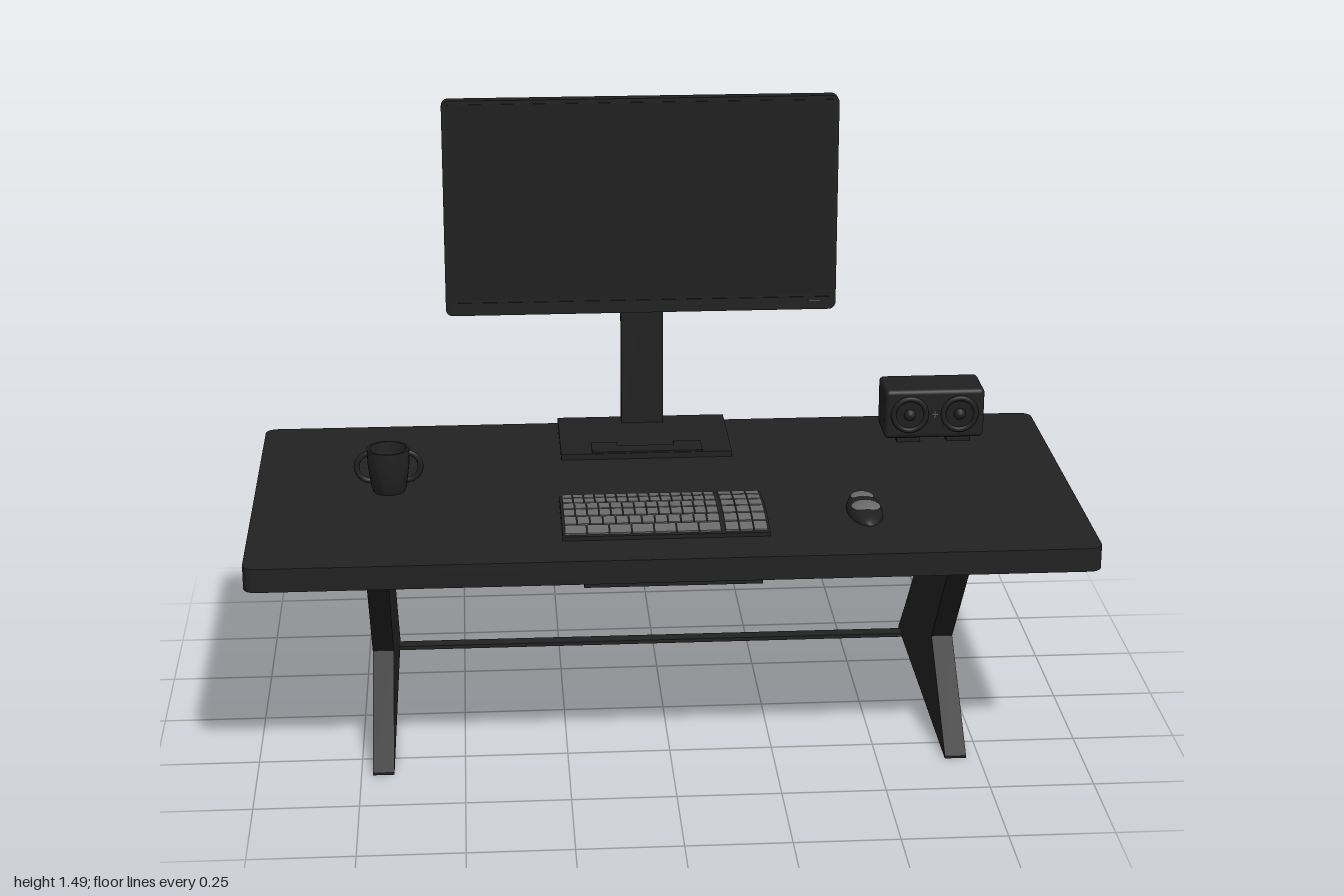
import * as THREE from 'three';
import { toCreasedNormals } from 'three/addons/utils/BufferGeometryUtils.js';
import { RoundedBoxGeometry } from 'three/addons/geometries/RoundedBoxGeometry.js';

const mat = (name, color, side = THREE.FrontSide) =>
  Object.assign(new THREE.MeshStandardMaterial({ color, side }), { name });

export function createModel() {
  const root = new THREE.Group();
  root.name = 'deskSetup';
  const black = mat('matteBlack', 0x222222);
  const dark = mat('darkPlastic', 0x202020);
  const screenBlack = mat('screenBlack', 0x1e1e1e);
  const grey = mat('keyGrey', 0x6a6a6a);

  const add = (name, geo, material, x = 0, y = 0, z = 0, parent = root) => {
    const m = new THREE.Mesh(geo, material);
    m.name = name;
    m.position.set(x, y, z);
    parent.add(m);
    return m;
  };
  // box given by its limits
  const box = (name, material, x0, x1, y0, y1, z0, z1, parent = root) =>
    add(name, new THREE.BoxGeometry(x1 - x0, y1 - y0, z1 - z0), material,
      (x0 + x1) / 2, (y0 + y1) / 2, (z0 + z1) / 2, parent);
  const roundRect = (w, h, r) => {
    const s = new THREE.Shape();
    s.absarc(w / 2 - r, h / 2 - r, r, 0, Math.PI / 2);
    s.absarc(r - w / 2, h / 2 - r, r, Math.PI / 2, Math.PI);
    s.absarc(r - w / 2, r - h / 2, r, Math.PI, Math.PI * 1.5);
    s.absarc(w / 2 - r, r - h / 2, r, Math.PI * 1.5, Math.PI * 2);
    return s;
  };
  const slab = (w, h, r, depth) => toCreasedNormals(
    new THREE.ExtrudeGeometry(roundRect(w, h, r), { depth, bevelEnabled: false, curveSegments: 6 }), 0.6);
  // side profile in (z, y), extruded across x and centred on it
  const sideExtrude = (shape, width) => {
    const g = new THREE.ExtrudeGeometry(shape, { depth: width, bevelEnabled: false, curveSegments: 10 });
    g.translate(0, 0, -width / 2).rotateY(-Math.PI / 2);
    return toCreasedNormals(g, 0.4);
  };
  const poly = (pts) => new THREE.Shape(pts.map(([a, b]) => new THREE.Vector2(a, b)));

  // desk top and the tray beneath it
  add('deskTop', slab(2, 0.956, 0.03, 0.058).rotateX(-Math.PI / 2), black, 0, 0.541, 0);
  box('underTray', black, -0.21, 0.213, 0.484, 0.541, -0.466, 0.362);

  // angular side legs with a slightly curved back edge
  const leg = new THREE.Shape();
  leg.moveTo(0.34, 0);
  leg.lineTo(0.34, 0.006);
  leg.lineTo(0.083, 0.213);
  leg.lineTo(0.352, 0.541);
  leg.lineTo(0.022, 0.541);
  leg.quadraticCurveTo(-0.215, 0.248, -0.458, 0.006);
  leg.lineTo(-0.458, 0);
  const legGeo = sideExtrude(leg, 0.052);
  for (const [name, x] of [['rightLeg', -0.697], ['leftLeg', 0.692]]) add(name, legGeo, black, x);
  box('footBar', black, -0.68, 0.68, 0.003, 0.013, -0.425, -0.39);

  // monitor
  const mx = -0.031;
  const monitor = new THREE.Group();
  monitor.name = 'monitor';
  monitor.position.x = mx;
  root.add(monitor);
  add('panel', slab(0.99, 0.555, 0.018, 0.03), dark, 0, 1.2125, -0.387, monitor);
  add('screen', slab(0.968, 0.505, 0.006, 0.002), screenBlack, 0, 1.228, -0.357, monitor);
  box('chinLine', screenBlack, -0.48, 0.48, 0.966, 0.969, -0.357, -0.3545, monitor);
  box('powerLight', grey, 0.425, 0.455, 0.957, 0.96, -0.357, -0.3545, monitor);
  // rear housing tapers backwards
  const housing = new THREE.BoxGeometry(0.86, 0.32, 0.035);
  const hp = housing.attributes.position;
  for (let i = 0; i < hp.count; i++) {
    if (hp.getZ(i) < 0) hp.setXY(i, hp.getX(i) * 0.5, hp.getY(i) > 0 ? 0.07 : -0.145);
  }
  housing.computeVertexNormals();
  add('rearHousing', housing, dark, 0, 1.097, -0.402, monitor);
  add('mountWedge', sideExtrude(poly([[-0.38, 1.27], [-0.435, 1.205], [-0.435, 1.02], [-0.415, 0.96], [-0.38, 0.96]]), 0.18),
    dark, 0, 0, 0, monitor);
  add('standColumn', sideExtrude(poly([[-0.427, 0.61], [-0.462, 0.61], [-0.457, 1.18], [-0.445, 1.2], [-0.43, 1.2]]), 0.108),
    dark, 0.005, 0, 0, monitor);
  box('standBase', dark, -0.213, 0.219, 0.599, 0.614, -0.476, -0.197, monitor);
  // U-shaped rest on the base
  const rest = poly([[-0.135, 0.2], [-0.135, 0.27], [-0.07, 0.27], [-0.07, 0.245], [0.075, 0.245],
    [0.075, 0.27], [0.145, 0.27], [0.145, 0.2]].reverse());
  add('baseRest', new THREE.ExtrudeGeometry(rest, { depth: 0.004, bevelEnabled: false }).rotateX(-Math.PI / 2),
    dark, 0, 0.614, 0, monitor);

  // keyboard: low domed body with rows of keys
  const keyboard = new THREE.Group();
  keyboard.name = 'keyboard';
  keyboard.position.x = -0.014;
  root.add(keyboard);
  const dome = (z) => 0.609 + 0.014 * (1 - ((z - 0.215) / 0.135) ** 2);
  const prof = [[0.35, 0.599]];
  for (let i = 0; i <= 8; i++) {
    const z = 0.35 - i * 0.03375;
    prof.push([z, dome(z)]);
  }
  prof.push([0.08, 0.599]);
  add('keyboardBody', sideExtrude(poly(prof), 0.49), dark, 0, 0, 0, keyboard);
  const key = (x0, x1, z0, z1) => {
    const z = (z0 + z1) / 2;
    const k = box('key', grey, x0, x1, dome(z) - 0.003, dome(z) + 0.004, z0, z1, keyboard);
    k.rotation.x = Math.atan(2 * 0.014 * (z - 0.215) / 0.135 ** 2);
  };
  const g = 0.0025;
  const rows = [14, 14, 13, 13, 12, 7];
  rows.forEach((n, r) => {
    const z0 = 0.085 + r * 0.0433, w = 0.37 / n;
    for (let c = 0; c < n; c++) {
      const x = -0.24 + c * w;
      key(x + g / 2, x + w - g / 2, z0 + g, z0 + 0.0433 - g);
    }
    for (let c = 0; c < 3; c++) {
      const x = 0.139 + c * 0.0337;
      key(x + g / 2, x + 0.0337 - g / 2, z0 + g, z0 + 0.0433 - g);
    }
  });

  // mouse
  const mouse = new THREE.Group();
  mouse.name = 'mouse';
  mouse.position.set(0.473, 0.6, 0.203);
  root.add(mouse);
  const half = new THREE.SphereGeometry(1, 24, 10, 0, Math.PI * 2, 0, Math.PI / 2);
  add('mouseBody', half, dark, 0, 0, 0, mouse).scale.set(0.043, 0.027, 0.103);
  add('mouseButtons', half, grey, 0, 0.018, -0.05, mouse).scale.set(0.028, 0.009, 0.03);
  add('mousePalm', half, grey, 0, 0.019, 0.02, mouse).scale.set(0.036, 0.0105, 0.034);

  // mug with two handles
  const mug = new THREE.Group();
  mug.name = 'mug';
  mug.position.set(-0.672, 0.6, -0.011);
  root.add(mug);
  const mugProfile = [[0, 0], [0.038, 0], [0.043, 0.01], [0.051, 0.07], [0.052, 0.11], [0.046, 0.11], [0.044, 0.07], [0.04, 0.03]]
    .map(([a, b]) => new THREE.Vector2(a, b));
  add('mugBody', toCreasedNormals(new THREE.LatheGeometry(mugProfile, 28), 0.7),
    mat('mugBlack', 0x222222, THREE.DoubleSide), 0, 0, 0, mug);
  add('mugInside', new THREE.CircleGeometry(0.042, 28).rotateX(-Math.PI / 2), grey, 0, 0.05, 0, mug);
  for (const s of [-1, 1]) {
    const h = add('mugHandle', new THREE.TorusGeometry(0.036, 0.007, 8, 18, Math.PI), dark, s * 0.042, 0.062, 0, mug);
    h.rotation.z = -s * Math.PI / 2;
  }

  // twin speaker box
  const speaker = new THREE.Group();
  speaker.name = 'speaker';
  speaker.position.set(0.713, 0, -0.326);
  root.add(speaker);
  add('speakerBox', new RoundedBoxGeometry(0.256, 0.13, 0.128, 3, 0.012), dark, 0, 0.677, 0, speaker);
  for (const s of [-1, 1]) {
    const x = s * 0.064;
    add('speakerRing', new THREE.TorusGeometry(0.042, 0.007, 8, 28), dark, x, 0.677, 0.065, speaker);
    add('speakerCone', new THREE.CircleGeometry(0.038, 28), screenBlack, x, 0.677, 0.0655, speaker);
    add('speakerDome', new THREE.SphereGeometry(0.016, 16, 8), dark, x, 0.677, 0.062, speaker);
    box('speakerFoot', dark, x - 0.03, x + 0.03, 0.599, 0.615, -0.05, 0.05, speaker);
  }
  box('markBarWide', grey, -0.008, 0.008, 0.6755, 0.6785, 0.063, 0.066, speaker);
  box('markBarTall', grey, -0.0015, 0.0015, 0.669, 0.685, 0.063, 0.0661, speaker);

  return root;
}
